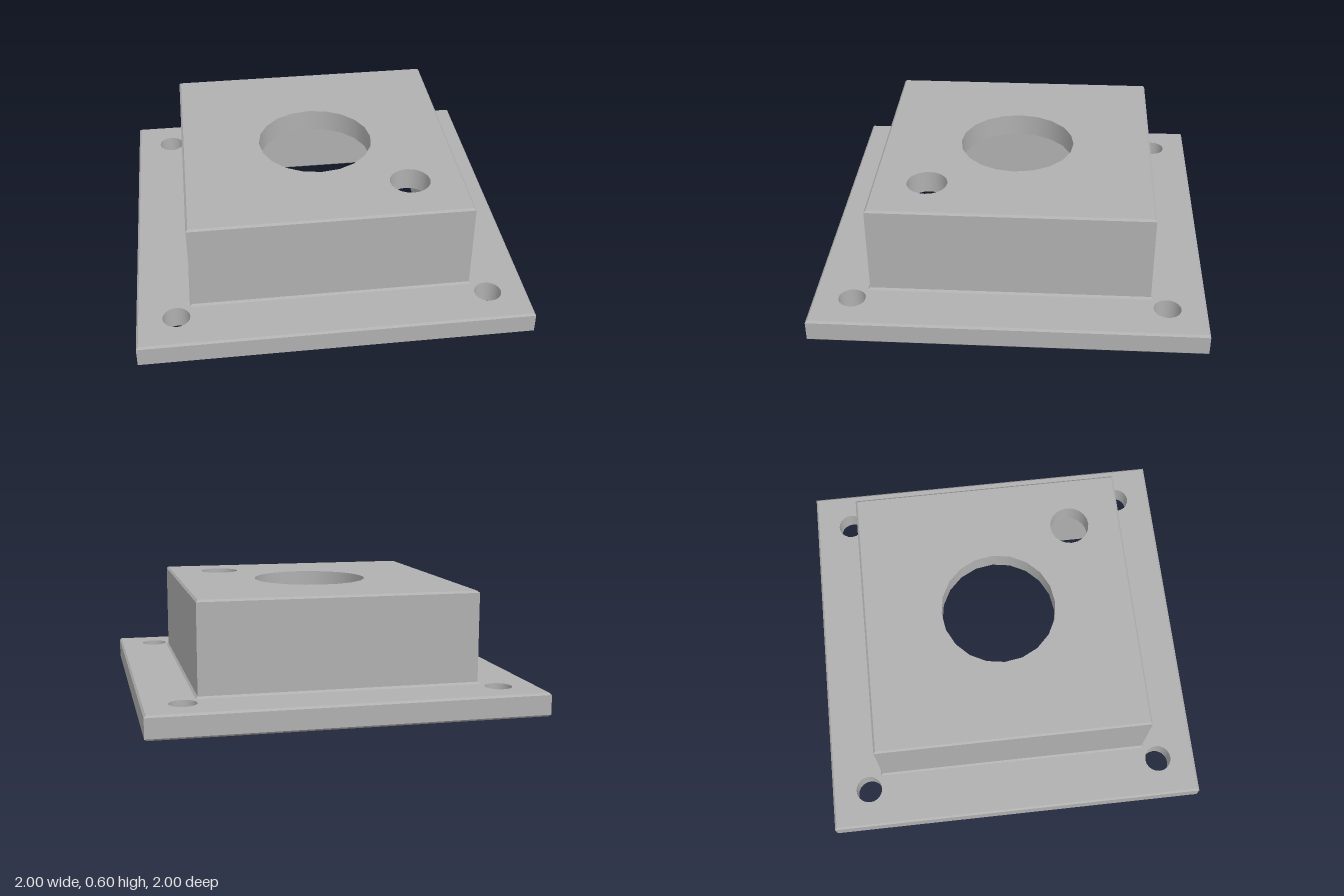
import * as THREE from 'three';

const SIDES = 20;   // facets on every round hole
const C = 0.01;     // edge chamfer

const steel = new THREE.MeshStandardMaterial({ color: 0xb0b0b0 });
steel.name = 'plain grey';

// Square walls from [half width, y] pairs; rising profiles face out, falling ones face in
function squareWall(profile) {
  const points = profile.map(([half, y]) => new THREE.Vector2(half * Math.SQRT2, y));
  const geometry = new THREE.LatheGeometry(points, 4, Math.PI / 4).toNonIndexed();
  geometry.computeVertexNormals();
  return geometry;
}

// Smooth wall of a round hole, facing inwards
function holeWall({ x, z, r }, bottom, top) {
  const points = [new THREE.Vector2(r, top), new THREE.Vector2(r, bottom)];
  return new THREE.LatheGeometry(points, SIDES).translate(x, 0, z);
}

function squarePoints(h) {
  return [[-h, -h], [h, -h], [h, h], [-h, h]].map(([x, y]) => new THREE.Vector2(x, y));
}

// Flat square face at height y with round holes and an optional square opening
function flatFace(half, y, facing, holes, opening = 0) {
  const shape = new THREE.Shape(squarePoints(half));
  for (const { x, z, r } of holes) {
    const rim = [];
    for (let i = 0; i < SIDES; i++) {
      const a = (i / SIDES) * Math.PI * 2;
      rim.push(new THREE.Vector2(x + r * Math.cos(a), -facing * z + r * Math.sin(a)));
    }
    shape.holes.push(new THREE.Path(rim));
  }
  if (opening) shape.holes.push(new THREE.Path(squarePoints(opening)));
  return new THREE.ShapeGeometry(shape).rotateX(-facing * Math.PI / 2).translate(0, y, 0);
}

export function createModel() {
  const model = new THREE.Group();
  model.name = 'flangedHousing';

  const group = (name) => {
    const g = new THREE.Group();
    g.name = name;
    model.add(g);
    return g;
  };
  const add = (parent, name, geometry) => {
    const mesh = new THREE.Mesh(geometry, steel);
    mesh.name = name;
    parent.add(mesh);
  };

  const boltHoles = [];
  for (const x of [-0.8, 0.8]) for (const z of [-0.8, 0.8]) boltHoles.push({ x, z, r: 0.07 });
  const topHoles = [{ x: 0, z: 0, r: 0.305 }, { x: 0.44, z: 0.44, r: 0.105 }];

  // Base flange with four bolt holes
  const flange = group('flange');
  add(flange, 'flangeRim', squareWall([[1 - C, 0], [1, C], [1, 0.12 - C], [1 - C, 0.12]]));
  add(flange, 'flangeTop', flatFace(1 - C, 0.12, 1, boltHoles, 0.72 + C));
  add(flange, 'flangeUnderside', flatFace(1 - C, 0, -1, boltHoles, 0.62 + C));
  boltHoles.forEach((hole) => add(flange, 'boltHole', holeWall(hole, 0, 0.12)));

  // Raised box, flared at its foot and chamfered at its top
  const housing = group('housing');
  add(housing, 'housingWalls',
    squareWall([[0.72 + C, 0.12], [0.72, 0.12 + C], [0.72, 0.6 - C], [0.72 - C, 0.6]]));
  add(housing, 'housingTop', flatFace(0.72 - C, 0.6, 1, topHoles));
  topHoles.forEach((hole) => add(housing, 'topHole', holeWall(hole, 0.48, 0.6)));

  // Hollow inside, open at the bottom
  const cavity = group('cavity');
  add(cavity, 'cavityWalls', squareWall([[0.62, 0.48], [0.62, C], [0.62 + C, 0]]));
  add(cavity, 'cavityCeiling', flatFace(0.62, 0.48, -1, topHoles));

  return model;
}
